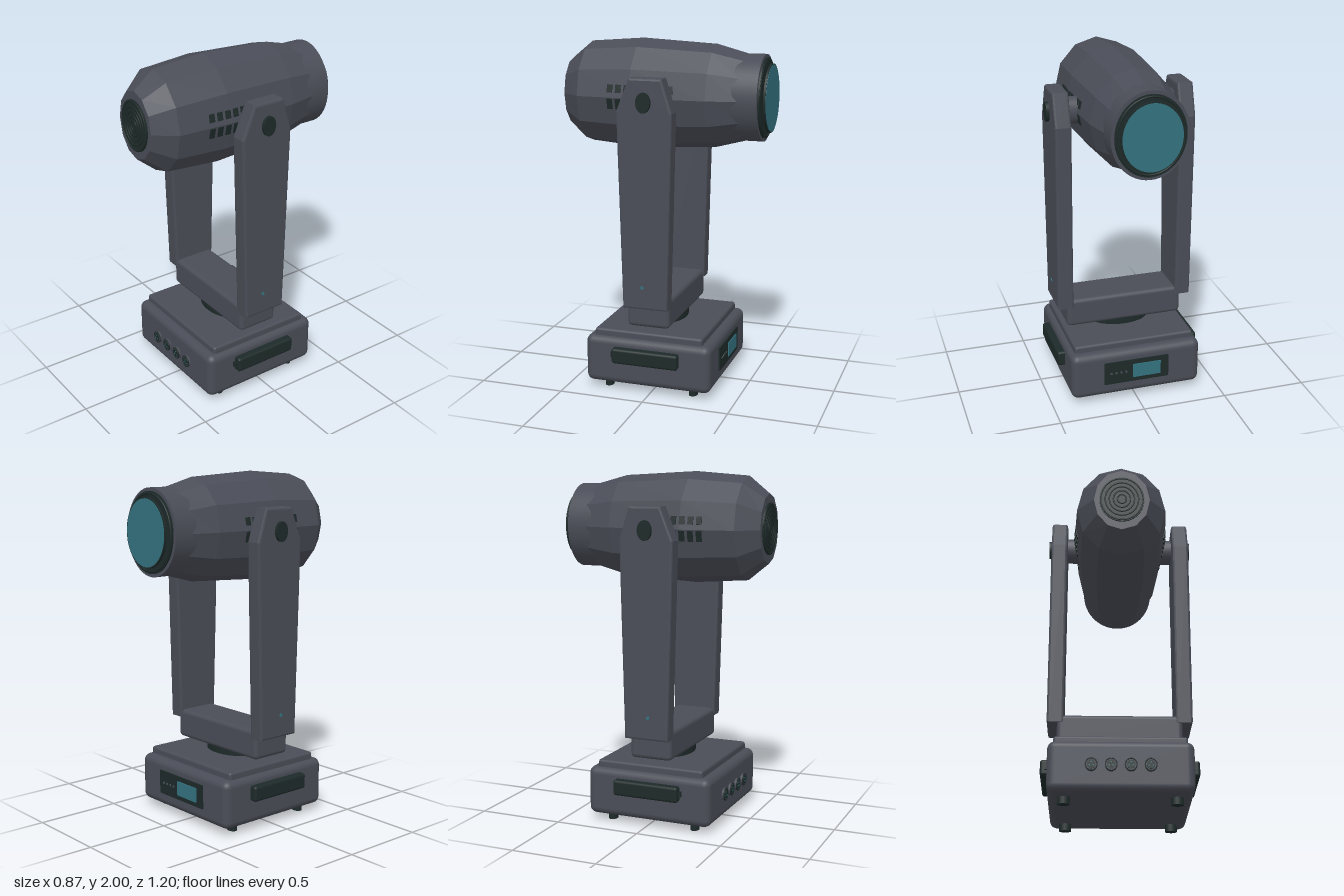
import * as THREE from 'three';
import { RoundedBoxGeometry } from 'three/addons/geometries/RoundedBoxGeometry.js';

const mat = (name, color) => {
  const m = new THREE.MeshStandardMaterial({ color });
  m.name = name;
  return m;
};

// Faceted loft along z through elliptical sections [z, rx, ry], front to back
function loft(sections, sides) {
  const pos = [], index = [];
  for (const [z, rx, ry] of sections)
    for (let j = 0; j < sides; j++) {
      const a = (j / sides) * Math.PI * 2;
      pos.push(rx * Math.sin(a), ry * Math.cos(a), z);
    }
  for (let i = 0; i < sections.length - 1; i++)
    for (let j = 0; j < sides; j++) {
      const k = (j + 1) % sides, a = i * sides, b = a + sides;
      index.push(a + j, a + k, b + k, a + j, b + k, b + j);
    }
  const g = new THREE.BufferGeometry();
  g.setAttribute('position', new THREE.Float32BufferAttribute(pos, 3));
  g.setIndex(index);
  const flat = g.toNonIndexed();
  flat.computeVertexNormals();
  return flat;
}

export function createModel() {
  const body = mat('charcoal casing', 0x4a4d57);
  const dark = mat('black trim', 0x1d2a29);
  const teal = mat('teal glass', 0x33727f);

  const root = new THREE.Group();
  root.name = 'movingHeadLight';
  const add = (parent, name, geo, material, x = 0, y = 0, z = 0) => {
    const m = new THREE.Mesh(geo, material);
    m.name = name;
    m.position.set(x, y, z);
    parent.add(m);
    return m;
  };
  const group = (name, y = 0) => {
    const g = new THREE.Group();
    g.name = name;
    g.position.y = y;
    root.add(g);
    return g;
  };
  const rbox = (w, h, d, r) => new RoundedBoxGeometry(w, h, d, 3, r);
  // Elliptical discs along each axis
  const discZ = (rx, ry, d, n = 40) => new THREE.CylinderGeometry(1, 1, d, n).rotateX(Math.PI / 2).scale(rx, ry, 1);
  const discX = (ry, rz, d, n = 32) => new THREE.CylinderGeometry(1, 1, d, n).rotateZ(Math.PI / 2).scale(1, ry, rz);
  const discY = (rx, rz, d, n = 32) => new THREE.CylinderGeometry(1, 1, d, n).scale(rx, 1, rz);
  const ringZ = (rx, ry, t) => new THREE.TorusGeometry(1, t / ry, 8, 40).scale(rx, ry, ry);

  // Base
  const base = group('base');
  add(base, 'baseHousing', rbox(0.78, 0.28, 0.75, 0.042), body, 0, 0.18, 0.014);
  add(base, 'baseTopPlate', rbox(0.72, 0.07, 0.645, 0.015), body, 0, 0.325, 0.015);
  add(base, 'turntable', discY(0.175, 0.12, 0.05), dark, 0, 0.375, 0.015);
  for (const s of [1, -1]) {
    for (const z of [0.272, -0.241])
      add(base, 'foot', discY(0.034, 0.025, 0.05, 20), dark, s * 0.3, 0.025, z);
    add(base, 'carryHandle', rbox(0.055, 0.09, 0.395, 0.015), dark, s * 0.405, 0.225, 0.016);
    add(base, 'handlePin', new THREE.BoxGeometry(0.02, 0.03, 0.02), dark, s * 0.397, 0.225, 0.216);
  }

  // Round sockets on the front of the base
  for (const x of [-0.156, -0.052, 0.052, 0.156]) {
    add(base, 'socketBody', discZ(0.032, 0.036, 0.02, 24), body, x, 0.18, 0.394);
    add(base, 'socketRing', ringZ(0.03, 0.033, 0.004), dark, x, 0.18, 0.403);
    add(base, 'socketFace', discZ(0.022, 0.025, 0.004, 24), dark, x, 0.18, 0.405);
    for (let i = 0; i < 3; i++) {
      const a = Math.PI / 2 + (i * Math.PI * 2) / 3;
      add(base, 'socketPin', discZ(0.004, 0.004, 0.004, 8), teal, x + 0.012 * Math.cos(a), 0.18 + 0.012 * Math.sin(a), 0.407);
    }
  }

  // Control panel on the back of the base
  add(base, 'controlPanel', new THREE.BoxGeometry(0.39, 0.14, 0.014), dark, 0.005, 0.19, -0.363);
  add(base, 'screen', new THREE.BoxGeometry(0.17, 0.085, 0.009), teal, -0.055, 0.19, -0.371);
  for (let i = 0; i < 4; i++)
    add(base, 'panelButton', discZ(0.007, 0.007, 0.006, 10), body, 0.07 + i * 0.03, 0.19, -0.371);

  // Yoke: crossbar, two tapered arms and pivots
  const yoke = group('yoke');
  add(yoke, 'crossbar', rbox(0.7, 0.17, 0.25, 0.025), body, 0, 0.475, 0.017);
  const b = 0.012;
  const side = [[-0.147, 0.515], [0.116, 0.515], [0.143, 1.63], [0.085, 1.815], [-0.103, 1.815], [-0.178, 1.63]];
  const armShape = new THREE.Shape(side.map(([x, y]) => new THREE.Vector2(x, y)));
  const armGeo = new THREE.ExtrudeGeometry(armShape, {
    depth: 0.094 - 2 * b, bevelEnabled: true, bevelSize: b, bevelOffset: -b, bevelThickness: b, bevelSegments: 2,
  }).rotateY(Math.PI / 2);
  armGeo.translate(-0.047 + b, 0, 0);
  for (const s of [1, -1]) {
    add(yoke, 'arm', armGeo, body, s * 0.36);
    add(yoke, 'pivotCap', discX(0.056, 0.041, 0.03, 24), dark, s * 0.41, 1.685, 0.016);
    add(yoke, 'axle', discX(0.078, 0.06, 0.12), body, s * 0.28, 1.685, 0.005);
    add(yoke, 'indicator', discX(0.01, 0.01, 0.008, 10), teal, s * 0.408, 0.645, 0.03);
  }

  // Head: faceted shell running into a round barrel
  const head = group('head', 1.685);
  const sections = [
    [0.588, 0, 0], [0.588, 0.158, 0.195], [0.47, 0.254, 0.291], [0.155, 0.271, 0.315],
    [-0.28, 0.25, 0.291], [-0.46, 0.215, 0.243], [-0.46, 0, 0],
  ];
  add(head, 'shell', loft(sections, 12), body);
  add(head, 'barrel', discZ(0.217, 0.243, 0.26, 48), body, 0, 0, -0.43);
  add(head, 'bezel', discZ(0.198, 0.224, 0.02, 48), dark, 0, 0, -0.56);
  add(head, 'bezelRing', ringZ(0.187, 0.212, 0.006), dark, 0, 0, -0.569);
  add(head, 'lensRim', discZ(0.172, 0.192, 0.012, 48), dark, 0, 0, -0.592);
  add(head, 'lens', discZ(0.166, 0.186, 0.006, 48), teal, 0, 0, -0.597);

  // Fan grille on the front
  add(head, 'grilleDisc', discZ(0.127, 0.145, 0.02), dark, 0, 0, 0.586);
  for (const k of [0.2, 0.38, 0.56, 0.74, 0.94])
    add(head, 'grilleRing', ringZ(0.127 * k, 0.145 * k, 0.005), dark, 0, 0, 0.595);

  // Two rows of vent slots on each flank, laid on the facets
  for (let i = 0; i < 8; i++) {
    const z = 0.27 - i * 0.05;
    const slope = z > 0.155 ? -0.054 : 0.048;
    const rx = 0.271 + slope * (z - 0.155);
    for (const s of [1, -1])
      for (const [y, h] of [[0.05, 0.045], [-0.035, 0.06]]) {
        const vent = add(head, 'ventSlot', new THREE.BoxGeometry(0.009, h, 0.032), dark, s * (rx - Math.abs(y) * 0.23), y, z);
        vent.rotation.set(0, s * Math.atan(slope), s * Math.sign(y) * 0.226);
      }
  }
  return root;
}
